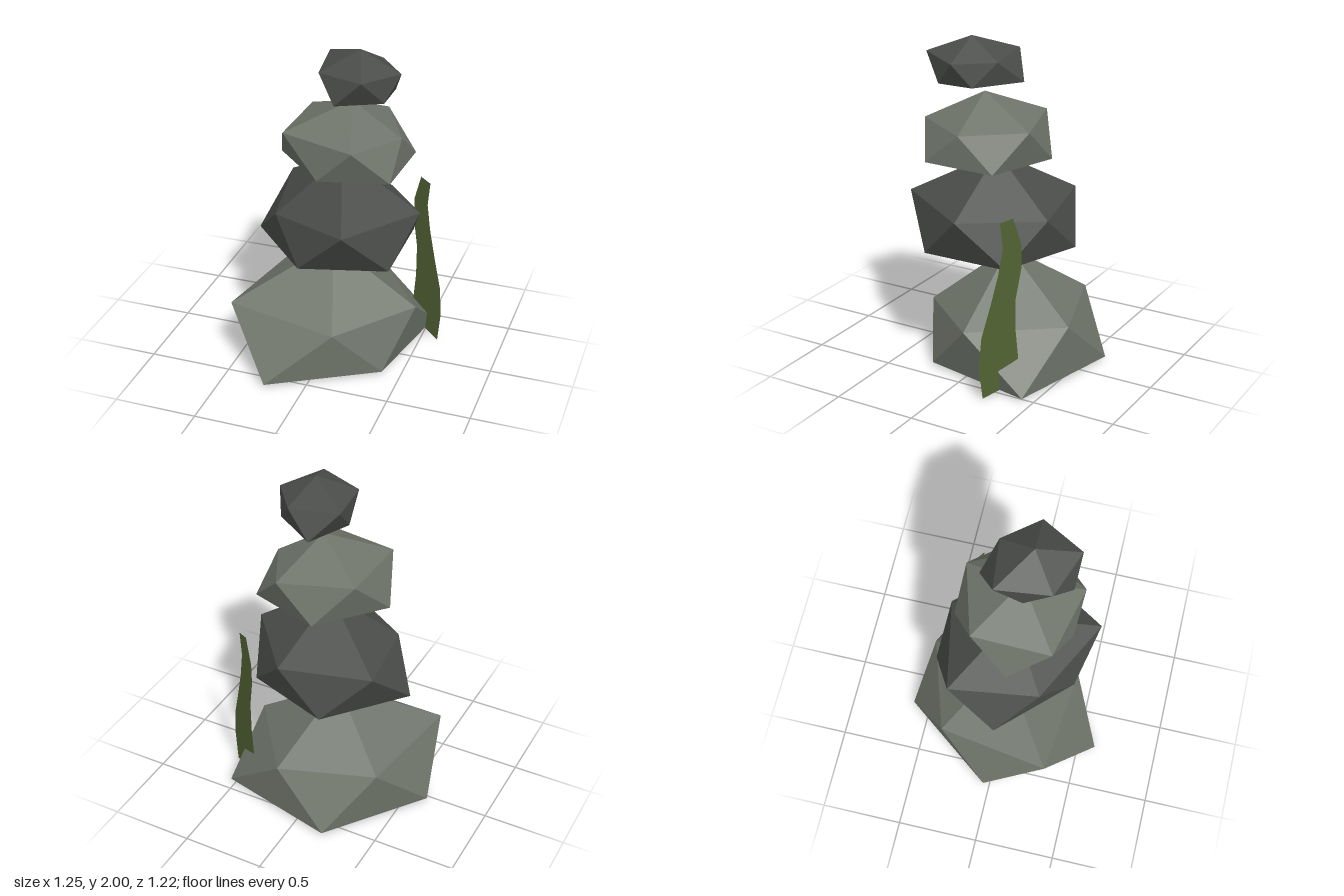
import * as THREE from 'three';

// Faceted stone: flat five-sided base, a staggered five-point shoulder and a peak.
// base: [x, z] points; shoulder: [x, y, z] points, each lying between base i and i + 1.
function makeStone({ name, color, floor, base, shoulder, peak }) {
  const pos = [];
  const low = base.map(([x, z]) => [x, floor, z]);
  const n = low.length;
  const tri = (...corners) => corners.forEach((c) => pos.push(...c));
  for (let i = 0; i < n; i++) {
    const j = (i + 1) % n;
    tri(low[i], low[j], shoulder[i]);
    tri(shoulder[i], low[j], shoulder[j]);
    tri(peak, shoulder[i], shoulder[j]);
    if (i > 0 && j > 0) tri(low[0], low[j], low[i]);
  }
  const geo = new THREE.BufferGeometry();
  geo.setAttribute('position', new THREE.Float32BufferAttribute(pos, 3));
  geo.computeVertexNormals();
  const mesh = new THREE.Mesh(geo, new THREE.MeshStandardMaterial({ color, flatShading: true }));
  mesh.name = name;
  return mesh;
}

const PALE = 0x6e746a;
const DARK = 0x4a4d4a;

const STONES = [
  {
    name: 'bottomStone', color: PALE, floor: 0.02, peak: [-0.02, 0.68, -0.04],
    base: [[-0.23, 0.61], [0.39, 0.25], [0.53, -0.44], [-0.2, -0.61], [-0.63, -0.04]],
    shoulder: [[0.13, 0.31, 0.41], [0.51, 0.33, -0.04], [0.14, 0.33, -0.53], [-0.43, 0.35, -0.35], [-0.54, 0.37, 0.335]],
  },
  {
    name: 'lowerMiddleStone', color: DARK, floor: 0.735, peak: [0.05, 1.29, 0],
    base: [[-0.08, 0.41], [0.425, 0.27], [0.42, -0.265], [-0.1, -0.445], [-0.475, 0]],
    shoulder: [[0.215, 1.025, 0.5], [0.53, 1, 0], [0.185, 0.98, -0.41], [-0.37, 1.01, -0.3], [-0.28, 0.97, 0.235]],
  },
  {
    name: 'upperMiddleStone', color: PALE, floor: 1.29, peak: [0.12, 1.67, 0.04],
    base: [[0.02, 0.36], [0.42, 0.26], [0.44, -0.195], [0, -0.335], [-0.31, 0.04]],
    shoulder: [[0.23, 1.495, 0.38], [0.42, 1.475, 0.04], [0.235, 1.5, -0.315], [-0.2, 1.52, -0.19], [-0.21, 1.52, 0.28]],
  },
  {
    name: 'topStone', color: DARK, floor: 1.745, peak: [0.185, 2, 0.085],
    base: [[0.11, 0.325], [0.36, 0.2], [0.36, -0.02], [0.09, -0.2], [-0.03, 0.07]],
    shoulder: [[0.27, 1.9, 0.335], [0.42, 1.88, 0.08], [0.255, 1.88, -0.125], [-0.055, 1.905, -0.09], [-0.01, 1.89, 0.23]],
  },
];

// Flat weed blade standing in a slanted vertical plane beside the stones.
function makeBlade() {
  const outline = [
    [0.44, 1.065], [0.51, 1.05], [0.495, 0.9], [0.52, 0.74], [0.565, 0.55], [0.61, 0.38], [0.625, 0.2],
    [0.605, 0], [0.51, 0.03], [0.52, 0.15], [0.41, 0.2], [0.425, 0.38], [0.425, 0.58], [0.395, 0.76], [0.395, 0.9],
  ];
  const geo = new THREE.ShapeGeometry(new THREE.Shape(outline.map(([x, y]) => new THREE.Vector2(x, y))));
  const p = geo.attributes.position;
  for (let i = 0; i < p.count; i++) p.setZ(i, -0.355 + 0.63 * (p.getX(i) - 0.4));
  geo.computeVertexNormals();
  const mesh = new THREE.Mesh(geo, new THREE.MeshStandardMaterial({
    color: 0x526334, flatShading: true, side: THREE.DoubleSide,
  }));
  mesh.name = 'weedBlade';
  return mesh;
}

export function createModel() {
  const group = new THREE.Group();
  group.name = 'stoneStack';
  STONES.forEach((s) => group.add(makeStone(s)));
  group.add(makeBlade());
  return group;
}
